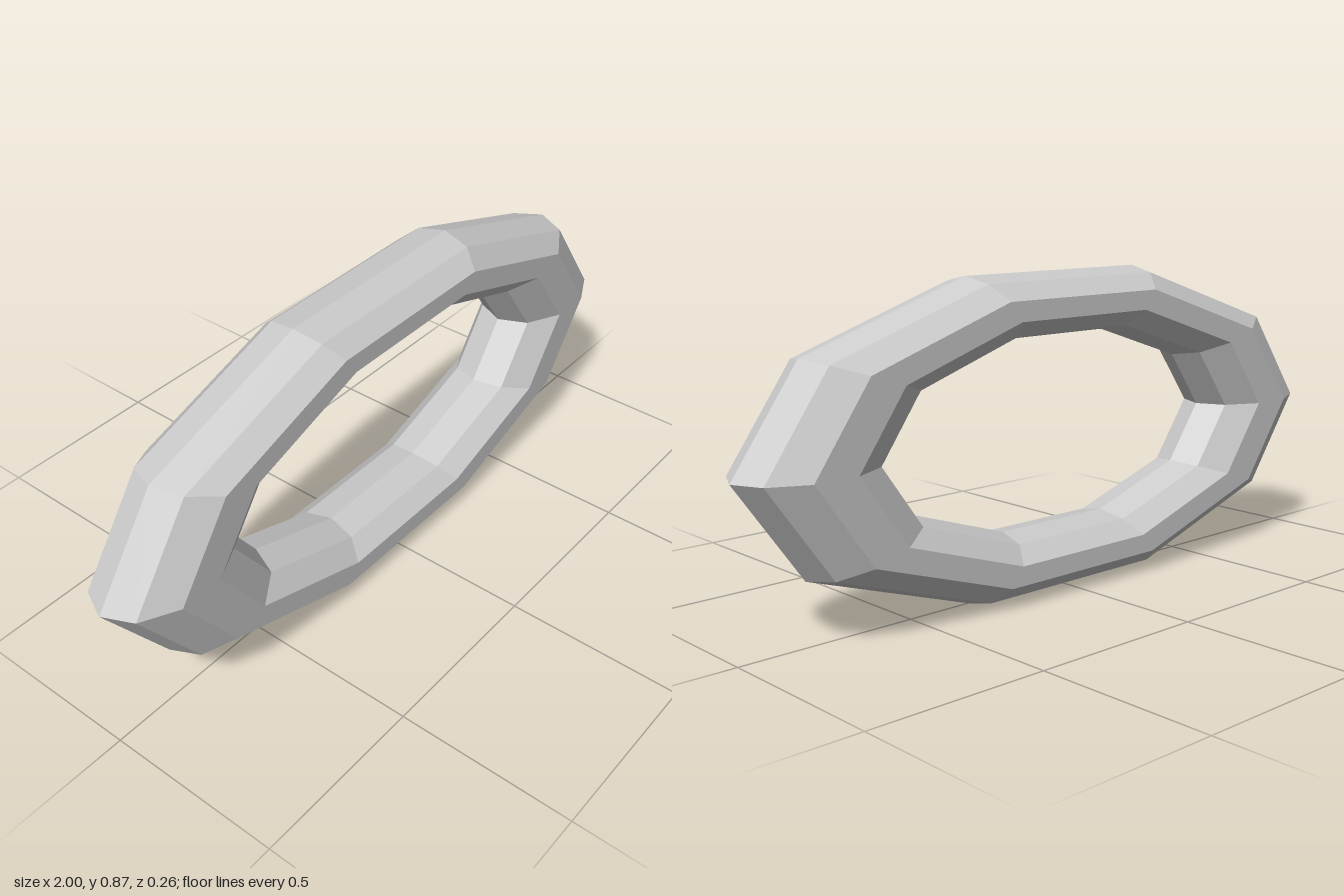
import * as THREE from 'three';

export function createModel() {
  const group = new THREE.Group();
  const yScale = 0.455;
  const zScale = 0.695;

  // Ten-sided tube swept round a ten-sided ring, squashed into an oval
  const geometry = new THREE.TorusGeometry(0.8, 0.2, 10, 10);
  geometry.scale(1, yScale, zScale);
  geometry.translate(0, yScale * Math.sin(Math.PI * 0.4), 0); // rest the flat lower side on the floor

  const ring = new THREE.Mesh(
    geometry,
    new THREE.MeshStandardMaterial({ color: 0xcccccc, flatShading: true })
  );
  ring.name = 'ovalRing';
  group.add(ring);
  return group;
}
